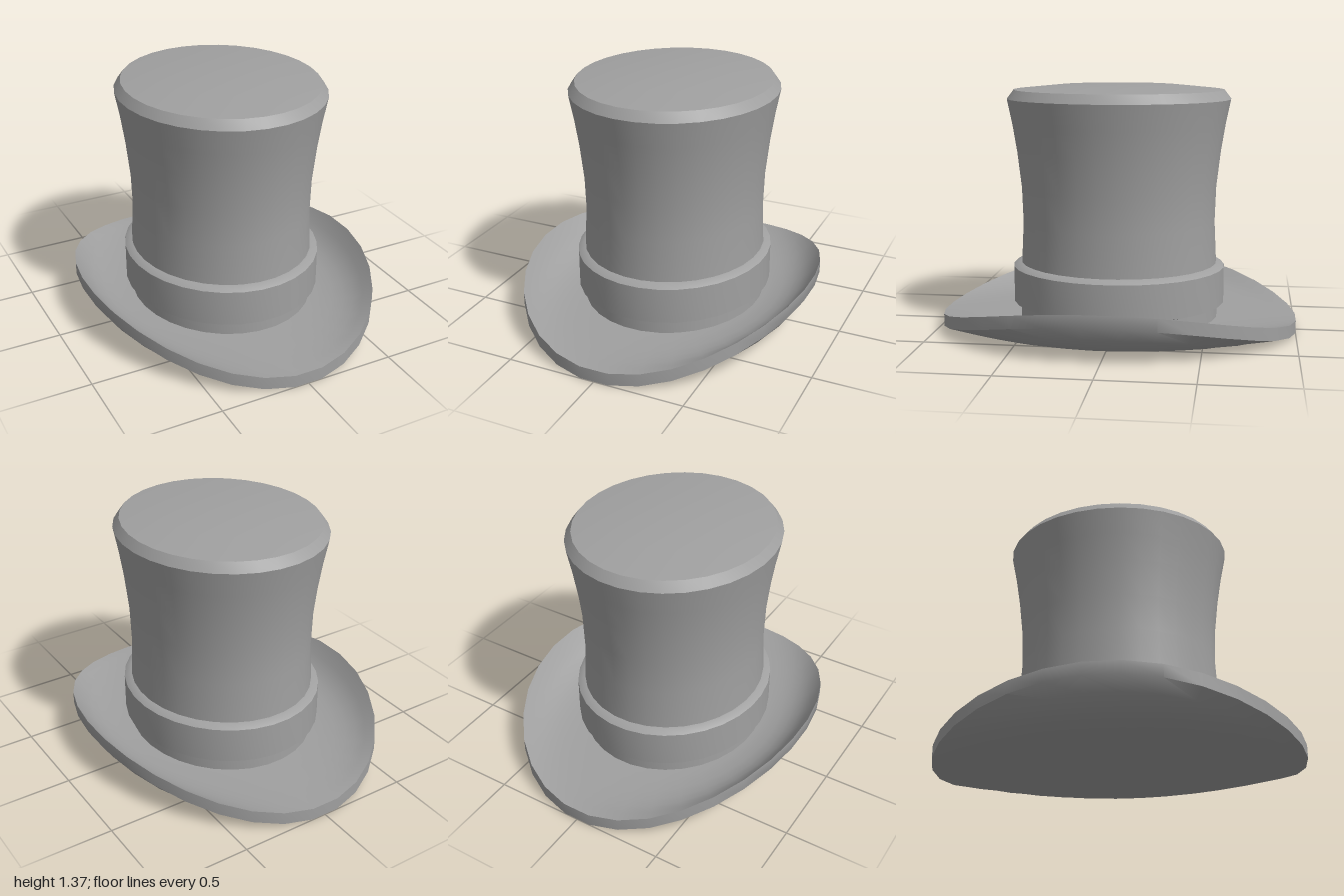
import * as THREE from 'three';
import { toCreasedNormals } from 'three/addons/utils/BufferGeometryUtils.js';

const SIDES = 32;

// Lathe with a flat facing each axis; points run from bottom to top as [radius, y]
function lathe(points) {
  const profile = points.map(([r, y]) => new THREE.Vector2(r, y));
  return new THREE.LatheGeometry(profile, SIDES, Math.PI / SIDES, Math.PI * 2);
}

export function createModel() {
  const felt = new THREE.MeshStandardMaterial({ color: 0xa0a0a0 });
  felt.name = 'grey felt';
  const hat = new THREE.Group();
  hat.name = 'topHat';

  function add(name, geometry, crease) {
    const mesh = new THREE.Mesh(toCreasedNormals(geometry, crease), felt);
    mesh.name = name;
    hat.add(mesh);
  }

  // Brim: an oval disc whose left and right sides curl upward
  const rings = [0.4, 0.55, 0.65, 0.75, 0.82, 0.88, 0.94, 1];
  const thickness = 0.07;
  const brim = lathe([
    [0, 0], ...rings.map((r) => [r, 0]),
    ...[...rings].reverse().map((r) => [r, thickness]), [0, thickness],
  ]);
  const p = brim.attributes.position;
  for (let i = 0; i < p.count; i++) {
    const x = p.getX(i), z = p.getZ(i);
    const t = Math.hypot(x, z);
    const side = t > 0 ? (x / t) ** 2 : 0;
    p.setXYZ(i, x * 0.82, p.getY(i) + 0.2 * side * t ** 7.5, z * 1.005);
  }
  add('brim', brim, 0.7);

  // Crown: waisted wall, bevelled edge and slightly domed top
  const crown = lathe([
    [0.51, 0.04], [0.507, 0.15], [0.502, 0.38], [0.492, 0.6], [0.498, 0.8],
    [0.519, 1.0], [0.541, 1.15], [0.567, 1.29],
    [0.532, 1.34], [0.31, 1.364], [0, 1.37],
  ]);
  crown.scale(1, 1, 1.1);
  add('crown', crown, 0.42);

  // Band around the foot of the crown, bevelled at both edges
  const band = lathe([
    [0.495, 0.14], [0.515, 0.145], [0.543, 0.155],
    [0.543, 0.355], [0.513, 0.375], [0.49, 0.378],
  ]);
  band.scale(1, 1, 1.1);
  add('band', band, 0.5);

  return hat;
}
